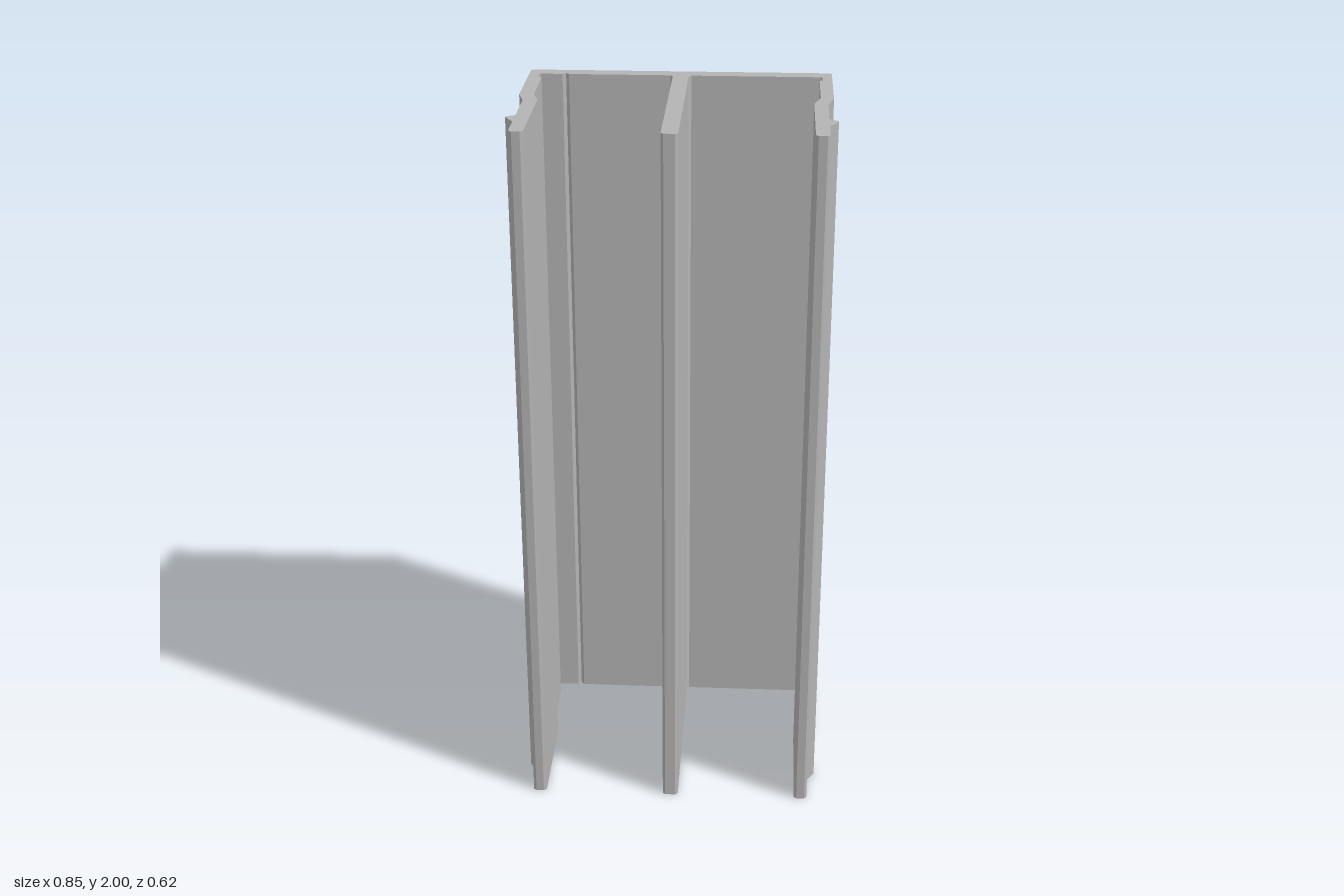
import * as THREE from 'three';

const HEIGHT = 2;

// Cross-section of the channel as [x, z] corners, walked around the outline
const backLeftWall = [
  [-0.413, -0.312], [-0.42, -0.305], [-0.42, -0.045], [-0.403, 0.015],
  [-0.403, 0.16], [-0.428, 0.174], [-0.425, 0.183], [-0.403, 0.22], // outer barb
  [-0.403, 0.303], [-0.395, 0.31], [-0.373, 0.31], [-0.365, 0.303],
  [-0.365, 0.005], [-0.381, -0.05], [-0.381, -0.222], [-0.392, -0.237],
  [-0.392, -0.262], [-0.388, -0.267],
];
const markingGroove = [[-0.328, -0.267], [-0.319, -0.277], [-0.31, -0.267]];
const middleWeb = [
  [-0.028, -0.267], [-0.021, -0.257], [-0.021, 0.303], [-0.014, 0.31],
  [0.016, 0.31], [0.023, 0.303], [0.023, -0.257], [0.03, -0.267],
];
const rightWall = [
  [0.387, -0.267], [0.391, -0.262], [0.391, -0.237], [0.383, -0.222],
  [0.383, -0.05], [0.365, 0.01], [0.365, 0.303], [0.372, 0.31],
  [0.395, 0.31], [0.402, 0.303],
  [0.402, 0.22], [0.425, 0.183], [0.425, 0.171], [0.41, 0.163], [0.402, 0.152], // outer barb
  [0.402, 0.015], [0.418, -0.045], [0.418, -0.305], [0.413, -0.312],
];

export function createModel() {
  const group = new THREE.Group();
  group.name = 'channelExtrusion';

  const metal = new THREE.MeshStandardMaterial({ color: 0xb3b3b3 });
  metal.name = 'grey metal';

  const outline = [...backLeftWall, ...markingGroove, ...middleWeb, ...rightWall];
  const shape = new THREE.Shape(outline.map(([x, z]) => new THREE.Vector2(x, -z)));

  // Extrude the section, then stand it upright
  const geometry = new THREE.ExtrudeGeometry(shape, { depth: HEIGHT, bevelEnabled: false });
  geometry.rotateX(-Math.PI / 2);

  const profile = new THREE.Mesh(geometry, metal);
  profile.name = 'profile';
  group.add(profile);
  return group;
}
